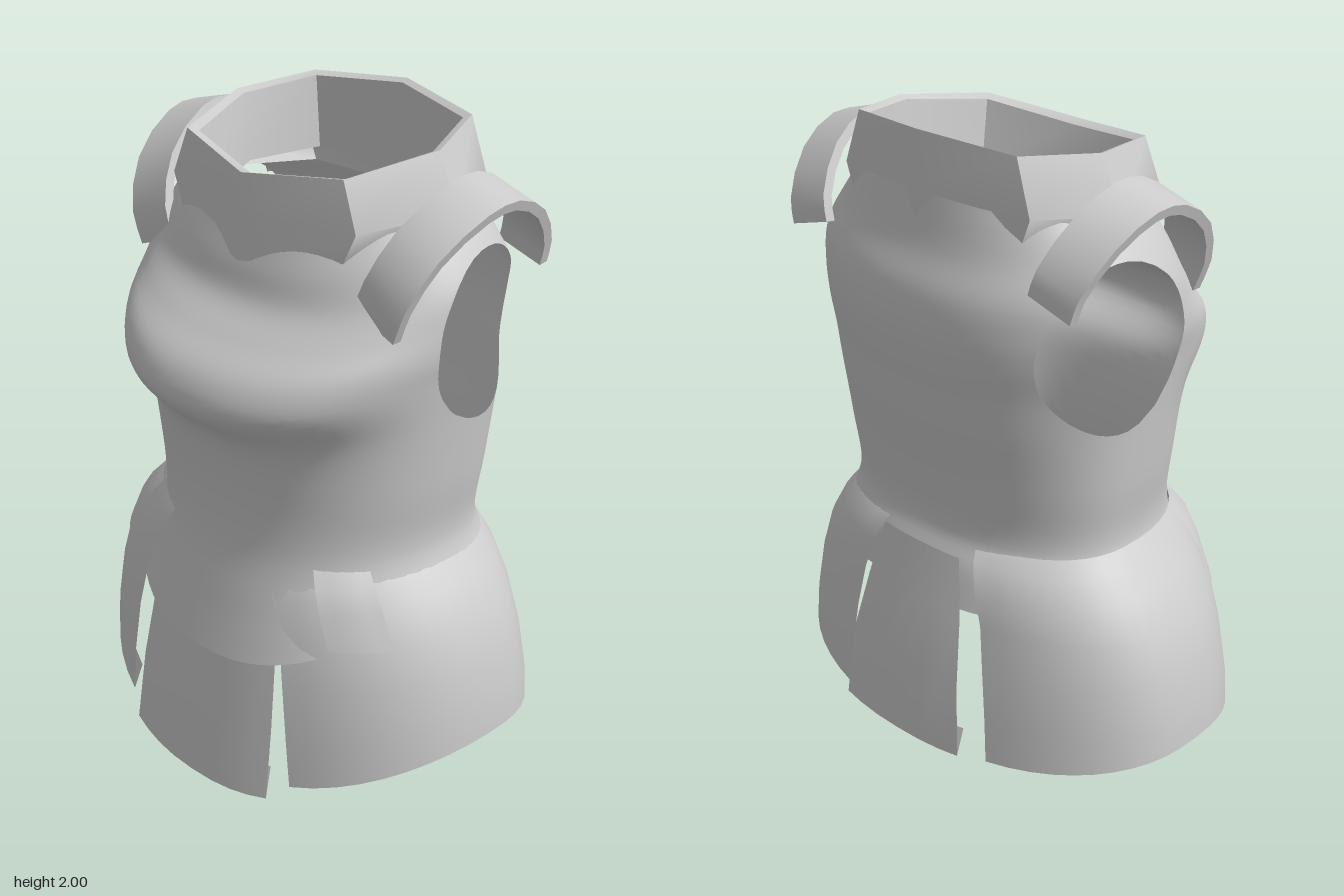
import * as THREE from 'three';
import { mergeVertices, toCreasedNormals } from 'three/addons/utils/BufferGeometryUtils.js';

const DEG = Math.PI / 180;
const CENTRE = 0.035;
const plate = new THREE.MeshStandardMaterial({ color: 0xcccccc, side: THREE.DoubleSide });
plate.name = 'pale grey plate';

const spow = (v, e) => Math.sign(v) * Math.pow(Math.abs(v), e);

// A ring is [yFront, ySide, yBack, halfWidth, zFront, zBack]; angle 0 is the front, 90 the model's left.
function ringPoint(ring, angle, cx, e) {
  const [yf, ys, yb, hw, zf, zb] = ring;
  const s = Math.sin(angle * DEG), c = Math.cos(angle * DEG), zs = -0.08;
  const y = ys + ((c > 0 ? yf : yb) - ys) * c * c;
  const z = zs + ((c > 0 ? zf : zb) - zs) * Math.pow(Math.abs(c), e);
  return new THREE.Vector3(cx + hw * spow(s, e), y, z);
}

// Skin rings from bottom to top between two angles; ends may slant from bottom to top.
// With nv the skin is smoothed; with hole an oval is cut from both sides, its rim kept on the surface.
function loft(name, rings, { from, to, nu, nv = 0, cx = CENTRE, e = 0.88, crease = 0, hole = null }) {
  const pos = [], index = [], inside = [];
  const rows = nv || rings.length - 1;
  const surface = (a, t) => {
    if (!nv) return ringPoint(rings[Math.round(t * rows)], a, cx, e);
    return new THREE.CatmullRomCurve3(rings.map(r => ringPoint(r, a, cx, e))).getPoint(t);
  };
  const inHole = p => hole && Math.abs(p.x - cx) > 0.3 &&
    Math.hypot((p.z - hole.z) / hole.rz, (p.y - hole.y) / hole.ry) < 1;
  for (let j = 0; j <= rows; j++) {
    const t = j / rows;
    const a0 = from[0] + (from[1] - from[0]) * t, a1 = to[0] + (to[1] - to[0]) * t;
    for (let i = 0; i <= nu; i++) {
      const a = a0 + (a1 - a0) * i / nu;
      let p = surface(a, t);
      const cut = inHole(p);
      if (cut) {
        // slide outwards along the surface to the rim
        const ac = hole.a * Math.sign(a);
        const slide = k => surface(ac + (a - ac) * k, Math.min(1, hole.t + (t - hole.t) * k));
        let lo = 1, hi = 1;
        while (hi < 16 && inHole(slide(hi))) hi *= 1.4;
        for (let n = 0; n < 14; n++) {
          const mid = (lo + hi) / 2;
          if (inHole(slide(mid))) lo = mid; else hi = mid;
        }
        p = slide(hi);
      }
      inside.push(cut);
      pos.push(p.x, p.y, p.z);
    }
  }
  const tri = (a, b, c) => { if (!(inside[a] && inside[b] && inside[c])) index.push(a, b, c); };
  for (let j = 0; j < rows; j++) for (let i = 0; i < nu; i++) {
    const a = j * (nu + 1) + i, b = a + 1, d = a + nu + 1;
    tri(a, b, d + 1);
    tri(a, d + 1, d);
  }
  return finish(name, pos, index, crease);
}

function finish(name, pos, index, crease) {
  let geo = new THREE.BufferGeometry();
  geo.setAttribute('position', new THREE.Float32BufferAttribute(pos, 3));
  geo.setIndex(index);
  geo = mergeVertices(geo, 1e-4);
  if (crease) geo = toCreasedNormals(geo, crease);
  else geo.computeVertexNormals();
  const mesh = new THREE.Mesh(geo, plate);
  mesh.name = name;
  return mesh;
}

// Thick band arching over one shoulder
function shoulderStrap(side) {
  const path = new THREE.CatmullRomCurve3([
    [0.435, 1.54, 0.20], [0.47, 1.63, 0.20], [0.515, 1.76, 0.13], [0.55, 1.855, -0.02],
    [0.555, 1.865, -0.13], [0.535, 1.80, -0.26], [0.495, 1.68, -0.35], [0.475, 1.61, -0.36],
  ].map(p => new THREE.Vector3(...p)));
  const pos = [], index = [], n = 14;
  for (let i = 0; i <= n; i++) {
    const p = path.getPoint(i / n), tan = path.getTangent(i / n);
    const across = new THREE.Vector3(0.95, -0.28, 0);
    across.addScaledVector(tan, -tan.dot(across)).normalize();
    const up = new THREE.Vector3().crossVectors(tan, across).normalize();
    for (const [w, h] of [[-0.078, 0.015], [0.078, 0.015], [0.078, -0.015], [-0.078, -0.015]]) {
      const q = p.clone().addScaledVector(across, w).addScaledVector(up, h);
      pos.push(CENTRE + side * q.x, q.y, q.z);
    }
  }
  const quad = (a, b, c, d) => side < 0 ? index.push(a, b, c, a, c, d) : index.push(a, c, b, a, d, c);
  for (let i = 0; i < n; i++) for (let k = 0; k < 4; k++) {
    const a = i * 4 + k, b = i * 4 + (k + 1) % 4;
    quad(a, a + 4, b + 4, b);
  }
  quad(0, 1, 2, 3);
  quad(n * 4 + 3, n * 4 + 2, n * 4 + 1, n * 4);
  return finish(side > 0 ? 'leftShoulderStrap' : 'rightShoulderStrap', pos, index, 0.8);
}

export function createModel() {
  const model = new THREE.Group();
  model.name = 'bodyArmour';
  const around = { from: [-180, -180], to: [180, 180] };

  // Breast and back plate in one shell, with round arm openings and a pointed belly flap
  model.add(loft('torso', [
    [0.44, 0.64, 0.60, 0.57, 0.48, -0.45],
    [0.62, 0.72, 0.72, 0.525, 0.435, -0.42],
    [0.79, 0.81, 0.81, 0.50, 0.40, -0.385],
    [1.00, 1.00, 1.00, 0.522, 0.40, -0.40],
    [1.14, 1.22, 1.15, 0.545, 0.43, -0.425],
    [1.26, 1.36, 1.27, 0.56, 0.525, -0.44],
    [1.36, 1.44, 1.38, 0.575, 0.50, -0.455],
    [1.45, 1.52, 1.47, 0.58, 0.405, -0.46],
    [1.53, 1.61, 1.57, 0.57, 0.325, -0.45],
    [1.62, 1.71, 1.68, 0.51, 0.295, -0.412],
    [1.69, 1.785, 1.83, 0.44, 0.27, -0.385],
  ], { ...around, nu: 72, nv: 50, hole: { z: -0.14, y: 1.44, rz: 0.225, ry: 0.25, a: 97, t: 0.6 } }));

  // Faceted neck guard, higher at the back, folded over to an inner wall
  model.add(loft('collar', [
    [1.63, 1.71, 1.67, 0.405, 0.30, -0.40],
    [1.76, 1.79, 1.84, 0.465, 0.29, -0.395],
    [1.88, 1.95, 2.00, 0.395, 0.28, -0.385],
    [1.87, 1.94, 1.99, 0.37, 0.245, -0.365],
    [1.70, 1.74, 1.76, 0.345, 0.19, -0.36],
  ], { ...around, nu: 8, e: 0.74, crease: 0.9 }));

  // Front and back hanging plates; the first ring is the inner lip
  model.add(loft('frontTasset', [
    [0.10, 0.34, 0.24, 0.69, 0.495, -0.48],
    [0.005, 0.24, 0.14, 0.72, 0.53, -0.53],
    [0.25, 0.40, 0.30, 0.70, 0.495, -0.50],
    [0.54, 0.58, 0.56, 0.64, 0.445, -0.44],
  ], { from: [-21, -21], to: [21, 21], nu: 8, crease: 0.9 }));
  model.add(loft('backTasset', [
    [0.14, 0.34, 0.22, 0.68, 0.485, -0.50],
    [0.005, 0.24, 0.14, 0.72, 0.53, -0.53],
    [0.25, 0.40, 0.38, 0.70, 0.495, -0.505],
    [0.54, 0.58, 0.58, 0.64, 0.445, -0.455],
    [0.75, 0.76, 0.75, 0.55, 0.41, -0.415],
  ], { from: [162, 166], to: [198, 194], nu: 6, crease: 0.9 }));

  for (const side of [1, -1]) {
    const word = side > 0 ? 'left' : 'right';
    const span = (a, b) => side > 0 ? { from: a, to: b } : { from: b.map(v => -v), to: a.map(v => -v) };

    // Flared hip plate, rising from the lower lip to the waist and tucked under the belly flap
    model.add(loft(word + 'HipTasset', [
      [0.10, 0.32, 0.20, 0.70, 0.455, -0.47],
      [0.03, 0.22, 0.14, 0.735, 0.485, -0.50],
      [0.20, 0.31, 0.28, 0.73, 0.48, -0.49],
      [0.40, 0.46, 0.44, 0.70, 0.465, -0.475],
      [0.56, 0.58, 0.58, 0.66, 0.443, -0.455],
      [0.66, 0.68, 0.68, 0.595, 0.425, -0.445],
      [0.74, 0.755, 0.755, 0.53, 0.41, -0.415],
      [0.79, 0.80, 0.79, 0.49, 0.385, -0.38],
    ], { ...span([27, 20], [158, 163]), nu: 20, cx: 0.01, crease: 0.9 }));

    model.add(shoulderStrap(side));
  }

  // Small pouch tabs standing proud of the hips beside the belly flap
  for (const [name, from, to] of [['leftHipTab', 38, 58], ['rightHipTab', -58, -40]]) {
    model.add(loft(name, [
      [0.55, 0.57, 0.58, 0.665, 0.46, -0.45],
      [0.65, 0.68, 0.68, 0.605, 0.455, -0.44],
      [0.73, 0.735, 0.74, 0.56, 0.44, -0.42],
      [0.79, 0.80, 0.79, 0.495, 0.40, -0.38],
    ], { from: [from, from], to: [to, to], nu: 4, cx: 0.015, crease: 0.9 }));
  }
  return model;
}
